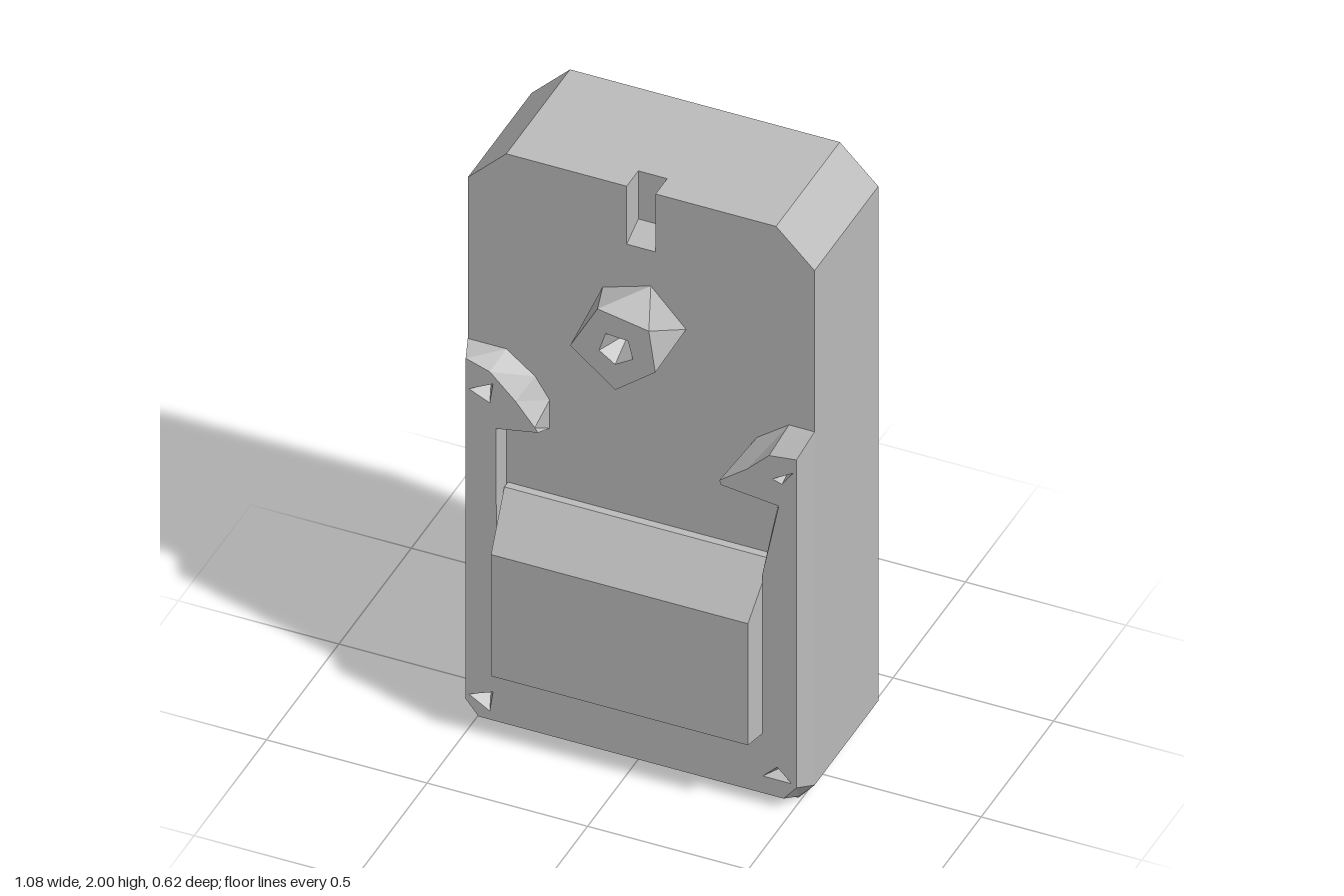
import * as THREE from 'three';

const casing = new THREE.MeshStandardMaterial({ color: 0xbcbcbc });
casing.name = 'casing grey';

const vec = (pts) => pts.map(([x, y]) => new THREE.Vector2(x, y));

// Joins two anticlockwise outlines at z0 and z1, caps the front,
// and sinks faceted pits of the given depth into the cap.
function loft(name, back, front, z0, z1, pits = [], depth = 0) {
  const pos = [];
  const tri = (...corners) => corners.forEach((c) => pos.push(...c));
  const n = back.length;
  for (let i = 0; i < n; i++) {
    const j = (i + 1) % n;
    const a = [...back[i], z0], b = [...back[j], z0];
    const c = [...front[j], z1], d = [...front[i], z1];
    tri(a, b, c);
    tri(a, c, d);
  }
  const all = [...front, ...pits.flat()];
  for (const f of THREE.ShapeUtils.triangulateShape(vec(front), pits.map(vec))) {
    tri(...f.map((k) => [...all[k], z1]));
  }
  for (const pit of pits) {
    const m = pit.length;
    const apex = [0, 1].map((k) => pit.reduce((s, p) => s + p[k], 0) / m);
    for (let i = 0; i < m; i++) {
      tri([...pit[i], z1], [...pit[(i + 1) % m], z1], [...apex, z1 - depth]);
    }
  }
  const geo = new THREE.BufferGeometry();
  geo.setAttribute('position', new THREE.Float32BufferAttribute(pos, 3));
  geo.computeVertexNormals();
  return named(name, geo);
}

function named(name, geo) {
  const mesh = new THREE.Mesh(geo, casing);
  mesh.name = name;
  return mesh;
}

function slab(name, outline, z0, z1) {
  const geo = new THREE.ExtrudeGeometry(new THREE.Shape(vec(outline)), {
    depth: z1 - z0, bevelEnabled: false,
  });
  return named(name, geo.translate(0, 0, z0));
}

export function createModel() {
  const model = new THREE.Group();
  model.name = 'device';

  // Body: a full rear slab and a front slab with a slot in its top edge
  const lower = [[-0.54, 1.88], [-0.54, 0.06], [-0.49, 0], [0.49, 0], [0.54, 0.06], [0.54, 1.88]];
  model.add(slab('rearBody', [...lower, [0.42, 2], [-0.42, 2]], -0.31, 0.05));
  model.add(slab('frontBody', [
    ...lower, [0.42, 2], [0.045, 2], [0.045, 1.79], [-0.045, 1.79], [-0.045, 2], [-0.42, 2],
  ], 0.05, 0.13));

  // Sloping floor of the slot
  model.add(loft('slotRamp',
    [[-0.045, 1.78], [0.045, 1.78], [0.045, 1.83], [-0.045, 1.83]],
    [[-0.045, 1.79], [0.045, 1.79], [0.045, 1.795], [-0.045, 1.795]], 0.05, 0.13));

  // Raised lower frame with two horns and four screw pits
  const frameBack = [
    [-0.54, 0.06], [-0.49, 0.005], [0.49, 0.005], [0.54, 0.06],
    [0.54, 1.31], [0.46, 1.31], [0.36, 1.235], [0.285, 1.11], [0.29, 1.04], [0.43, 1.04],
    [0.41, 0.82], [0.41, 0.25], [-0.41, 0.25], [-0.42, 0.82],
    [-0.42, 1.04], [-0.285, 1.07], [-0.285, 1.17], [-0.33, 1.24], [-0.42, 1.31], [-0.54, 1.31],
  ];
  const frameFront = [
    [-0.515, 0.09], [-0.475, 0.04], [0.475, 0.04], [0.515, 0.09],
    [0.515, 1.25], [0.43, 1.24], [0.36, 1.17], [0.275, 1.105], [0.28, 1.09], [0.46, 1.07],
    [0.41, 0.82], [0.41, 0.25], [-0.41, 0.25], [-0.42, 0.82],
    [-0.42, 1.075], [-0.29, 1.1], [-0.3, 1.115], [-0.36, 1.19], [-0.44, 1.27], [-0.515, 1.295],
  ];
  const screwPits = [
    [[-0.505, 1.19], [-0.44, 1.16], [-0.43, 1.23]],
    [[0.44, 1.16], [0.47, 1.15], [0.505, 1.2]],
    [[-0.505, 0.11], [-0.44, 0.07], [-0.43, 0.14]],
    [[0.41, 0.1], [0.5, 0.1], [0.455, 0.145]],
  ];
  model.add(loft('lowerFrame', frameBack, frameFront, 0.13, 0.2, screwPits, 0.05));

  // Flap: thin base step and a bevelled front
  const flapBase = [[-0.415, 0.245], [0.415, 0.245], [0.415, 0.84], [-0.415, 0.84]];
  const flapFace = [[-0.4, 0.26], [0.4, 0.26], [0.4, 0.69], [-0.4, 0.69]];
  model.add(loft('flapBase', flapBase, flapBase, 0.13, 0.155));
  model.add(loft('flap', flapBase, flapFace, 0.155, 0.28));

  // Twisted five-sided knob with a sunken centre
  const knobBack = [[0.07, 1.45], [0.14, 1.55], [0.03, 1.67], [-0.12, 1.62], [-0.07, 1.46]];
  const knobFront = [[0, 1.415], [0.125, 1.515], [0.105, 1.655], [-0.055, 1.685], [-0.14, 1.53]];
  const knobPit = [[0, 1.505], [0.055, 1.54], [0.04, 1.6], [-0.03, 1.605], [-0.05, 1.54]];
  model.add(loft('knob', knobBack, knobFront, 0.13, 0.31, [knobPit], 0.09));

  return model;
}
